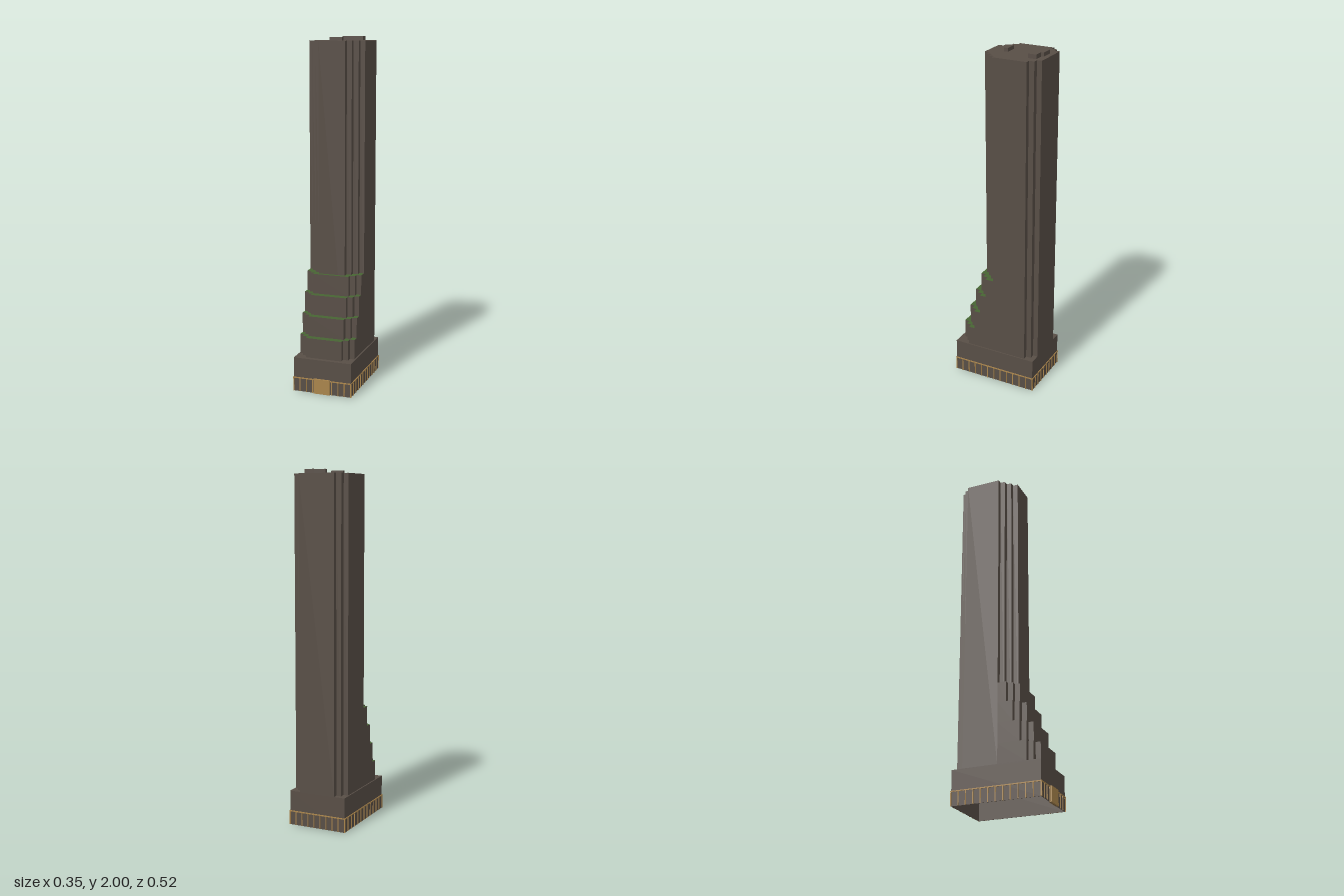
import * as THREE from 'three';

const brown = new THREE.MeshStandardMaterial({ color: 0x584e46 });
brown.name = 'brown cladding';
const green = new THREE.MeshStandardMaterial({ color: 0x476533 });
green.name = 'terrace green';
const gold = new THREE.MeshStandardMaterial({ color: 0xaa854c });
gold.name = 'bronze trim';

// Mirror a right-hand [x, z] outline (back to front)
function ring(half) {
  return [
    ...half.map(([x, z]) => new THREE.Vector2(x, -z)),
    ...half.map(([x, z]) => new THREE.Vector2(-x, -z)).reverse(),
  ];
}

// Extrude a mirrored outline, with an optional hole, from y0 to y1
function prism(name, half, y0, y1, material, hole) {
  const shape = new THREE.Shape(ring(half).reverse());
  if (hole) shape.holes.push(new THREE.Path(ring(hole)));
  const geo = new THREE.ExtrudeGeometry(shape, { depth: y1 - y0, bevelEnabled: false });
  geo.rotateX(-Math.PI / 2);
  const mesh = new THREE.Mesh(geo, material);
  mesh.position.y = y0;
  mesh.name = name;
  return mesh;
}

// Box given by its limits on each axis
function block(name, x0, x1, y0, y1, z0, z1, material) {
  const mesh = new THREE.Mesh(new THREE.BoxGeometry(x1 - x0, y1 - y0, z1 - z0), material);
  mesh.position.set((x0 + x1) / 2, (y0 + y1) / 2, (z0 + z1) / 2);
  mesh.name = name;
  return mesh;
}

export function createModel() {
  const model = new THREE.Group();
  model.name = 'setbackTower';

  // Main shaft with stepped corners
  model.add(prism('shaft', [
    [0.107, -0.26], [0.107, -0.231], [0.137, -0.231], [0.137, -0.201], [0.165, -0.201],
    [0.165, 0.003], [0.137, 0.003], [0.137, 0.031], [0.107, 0.031], [0.107, 0.06],
    [0.078, 0.06], [0.078, 0.09],
  ], 0.198, 1.976, brown));

  // Four planted setbacks stepping down the front
  const levels = [0.198, 0.313, 0.43, 0.546, 0.661];
  for (let i = 0; i < 4; i++) {
    const z = 0.169 - i * 0.0388;
    model.add(prism('terrace' + (i + 1), [
      [0.165, 0.003], [0.165, z], [0.137, z], [0.137, z + 0.029],
      [0.107, z + 0.029], [0.107, z + 0.058],
    ], levels[i], levels[i + 1], [green, brown]));
  }

  // Hollow podium, open underneath
  const x = 0.172, back = -0.259, front = 0.252, t = 0.003, e = 0.004;
  model.add(prism('podiumWalls', [[x, back], [x, front]], 0, 0.198, brown,
    [[x - t, back + t], [x - t, front - t]]));
  model.add(block('podiumRoof', -x, x, 0.193, 0.198, back, front, brown));

  // Bronze band and mullions around the ground floor
  model.add(prism('bronzeBand', [[x + e, back - e], [x + e, front + e]], 0.077, 0.083, gold,
    [[x - 0.001, back + 0.001], [x - 0.001, front - 0.001]]));
  const mullions = new THREE.Group();
  mullions.name = 'mullions';
  const w = 0.0025;
  for (let i = 0; i <= 9; i++) {
    const px = -x + (i / 9) * 2 * x;
    mullions.add(block('frontMullion', px - w, px + w, 0, 0.077, front - 0.001, front + e, gold));
    mullions.add(block('backMullion', px - w, px + w, 0, 0.077, back - e, back + 0.001, gold));
  }
  for (let i = 0; i <= 12; i++) {
    const pz = back + (i / 12) * (front - back);
    mullions.add(block('leftMullion', x - 0.001, x + e, 0, 0.077, pz - w, pz + w, gold));
    mullions.add(block('rightMullion', -x - e, -x + 0.001, 0, 0.077, pz - w, pz + w, gold));
  }
  model.add(mullions);

  // Entrance, set through the front wall
  model.add(block('entrance', -0.049, 0.049, 0, 0.087, front - 0.008, 0.262, gold));

  // Rooftop plant
  model.add(block('rearRoofUnit', -0.043, 0.029, 1.97, 1.998, -0.233, -0.213, brown));
  model.add(block('sideRoofUnit', 0.036, 0.092, 1.97, 2.0, -0.22, -0.173, brown));
  model.add(block('frontRoofUnit', -0.043, 0.029, 1.97, 1.996, -0.021, 0.003, brown));

  return model;
}
